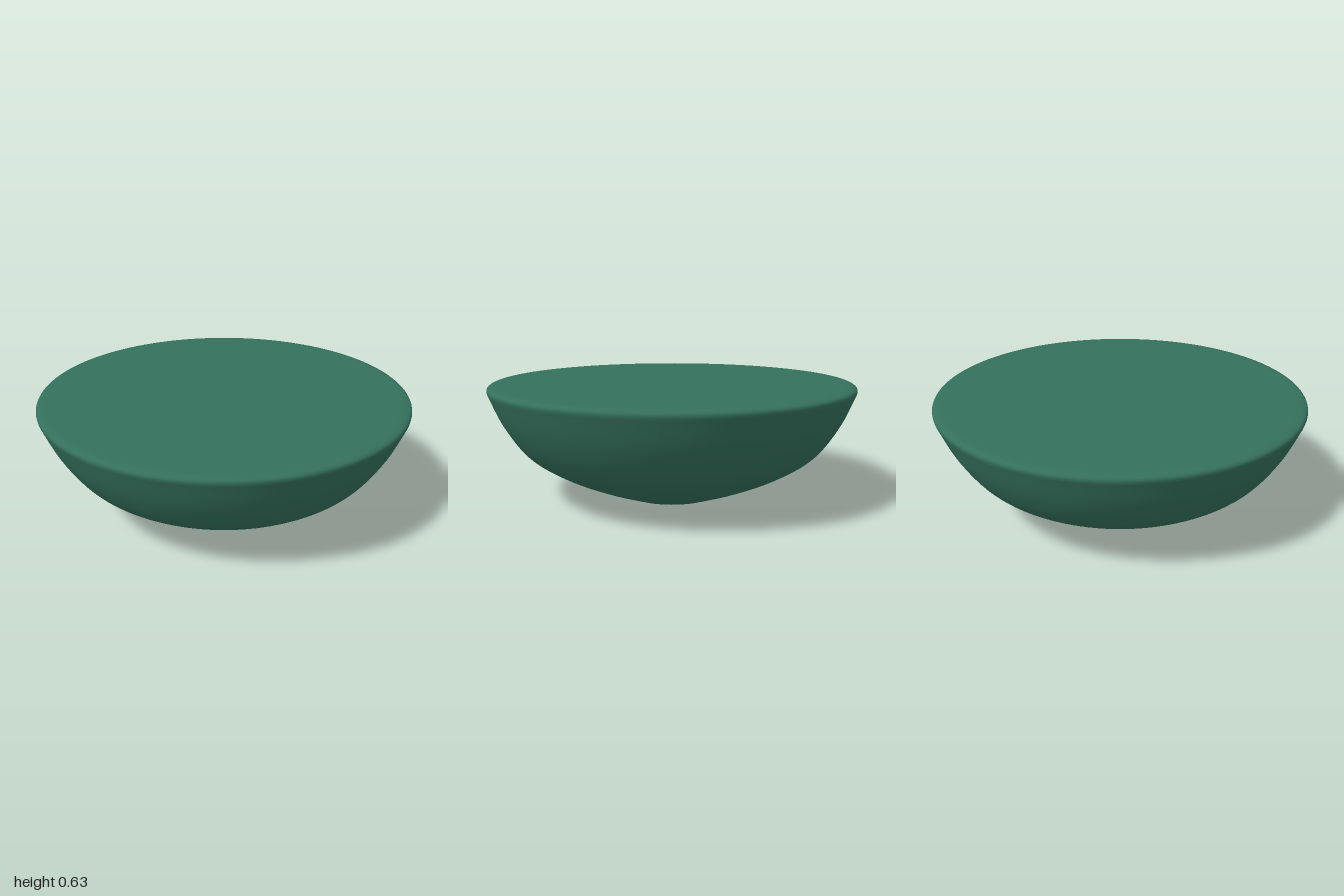
import * as THREE from 'three';

const HEIGHT = 0.635;
const BASE_RADIUS = 0.26;
const SEGMENTS = 128;

export function createModel() {
  const group = new THREE.Group();
  group.name = 'bowl';
  const material = new THREE.MeshStandardMaterial({ color: 0x34705c });

  // Curved side, from the foot up to the widest point
  const side = new THREE.SplineCurve([
    [BASE_RADIUS, 0], [0.47, 0.08], [0.66, 0.17], [0.81, 0.275],
    [0.92, 0.43], [0.99, 0.585],
  ].map(([x, y]) => new THREE.Vector2(x, y))).getPoints(40);

  // Rounded rim turning into the flat top
  const rim = new THREE.CubicBezierCurve(
    new THREE.Vector2(0.99, 0.585),
    new THREE.Vector2(1.006, 0.618),
    new THREE.Vector2(0.997, HEIGHT),
    new THREE.Vector2(0.94, HEIGHT),
  ).getPoints(14).slice(1);

  const profile = [...side, ...rim, new THREE.Vector2(0.9, HEIGHT)];
  const shell = new THREE.Mesh(new THREE.LatheGeometry(profile, SEGMENTS), material);
  shell.name = 'bowlSide';
  group.add(shell);

  // Flat discs closing the top and the foot
  const addDisc = (name, radius, y, tilt) => {
    const disc = new THREE.Mesh(new THREE.CircleGeometry(radius, SEGMENTS), material);
    disc.name = name;
    disc.rotation.x = tilt;
    disc.position.y = y;
    group.add(disc);
  };
  addDisc('flatTop', 0.9, HEIGHT, -Math.PI / 2);
  addDisc('foot', BASE_RADIUS, 0, Math.PI / 2);

  return group;
}
